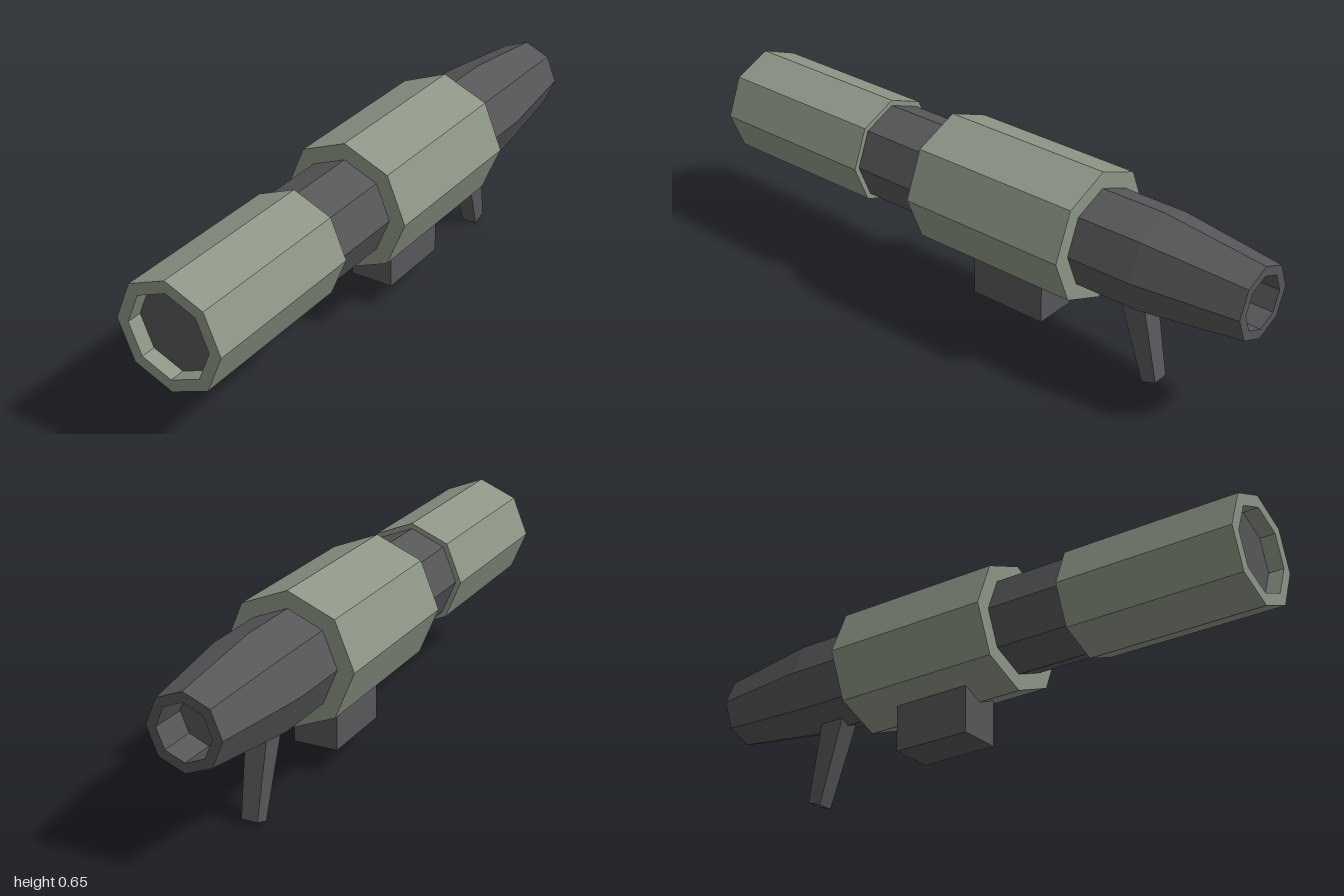
import * as THREE from 'three';

const AXIS_Y = 0.43;

export function createModel() {
  const model = new THREE.Group();
  model.name = 'shoulderLauncher';

  const green = new THREE.MeshStandardMaterial({ color: 0x8c9586 });
  green.name = 'olive green';
  const dark = new THREE.MeshStandardMaterial({ color: 0x575658 });
  dark.name = 'dark grey';
  green.flatShading = dark.flatShading = true;

  const add = (name, geometry, material) => {
    const mesh = new THREE.Mesh(geometry, material);
    mesh.name = name;
    model.add(mesh);
    return mesh;
  };

  // Eight-sided tube along z from [radius, z] pairs, listed back to front
  const tube = (name, profile, material) => {
    const points = profile.map(([r, z]) => new THREE.Vector2(r, z));
    const geometry = new THREE.LatheGeometry(points, 8).rotateX(Math.PI / 2);
    add(name, geometry, material).position.y = AXIS_Y;
  };

  // Inner barrel with a tapered, hollow rear nozzle and a closed front plug
  tube('barrel', [
    [0, -0.88], [0.088, -0.88], [0.088, -1], [0.12, -1],
    [0.162, -0.655], [0.162, 0.95], [0, 0.95],
  ], dark);

  // Front sleeve, open at the muzzle
  tube('frontSleeve', [
    [0.14, 0.41], [0.18, 0.41], [0.18, 1], [0.14, 1], [0.14, 0.94],
  ], green);

  // Thick middle sleeve
  tube('middleSleeve', [
    [0.14, -0.435], [0.217, -0.435], [0.217, 0.15], [0.14, 0.15],
  ], green);

  // Box under the middle sleeve
  add('underBox', new THREE.BoxGeometry(0.148, 0.173, 0.272), dark)
    .position.set(0, 0.1735, -0.136);

  // Slanted grip, narrowing downwards
  const grip = new THREE.BoxGeometry(1, 1, 1);
  const p = grip.attributes.position;
  for (let i = 0; i < p.count; i++) {
    const top = p.getY(i) > 0, front = p.getZ(i) > 0;
    const y = top ? 0.295 : front ? 0 : 0.018;
    const z = top ? (front ? -0.533 : -0.624) : (front ? -0.628 : -0.678);
    p.setXYZ(i, Math.sign(p.getX(i)) * (top ? 0.036 : 0.027), y, z);
  }
  grip.computeVertexNormals();
  add('grip', grip, dark);

  return model;
}
